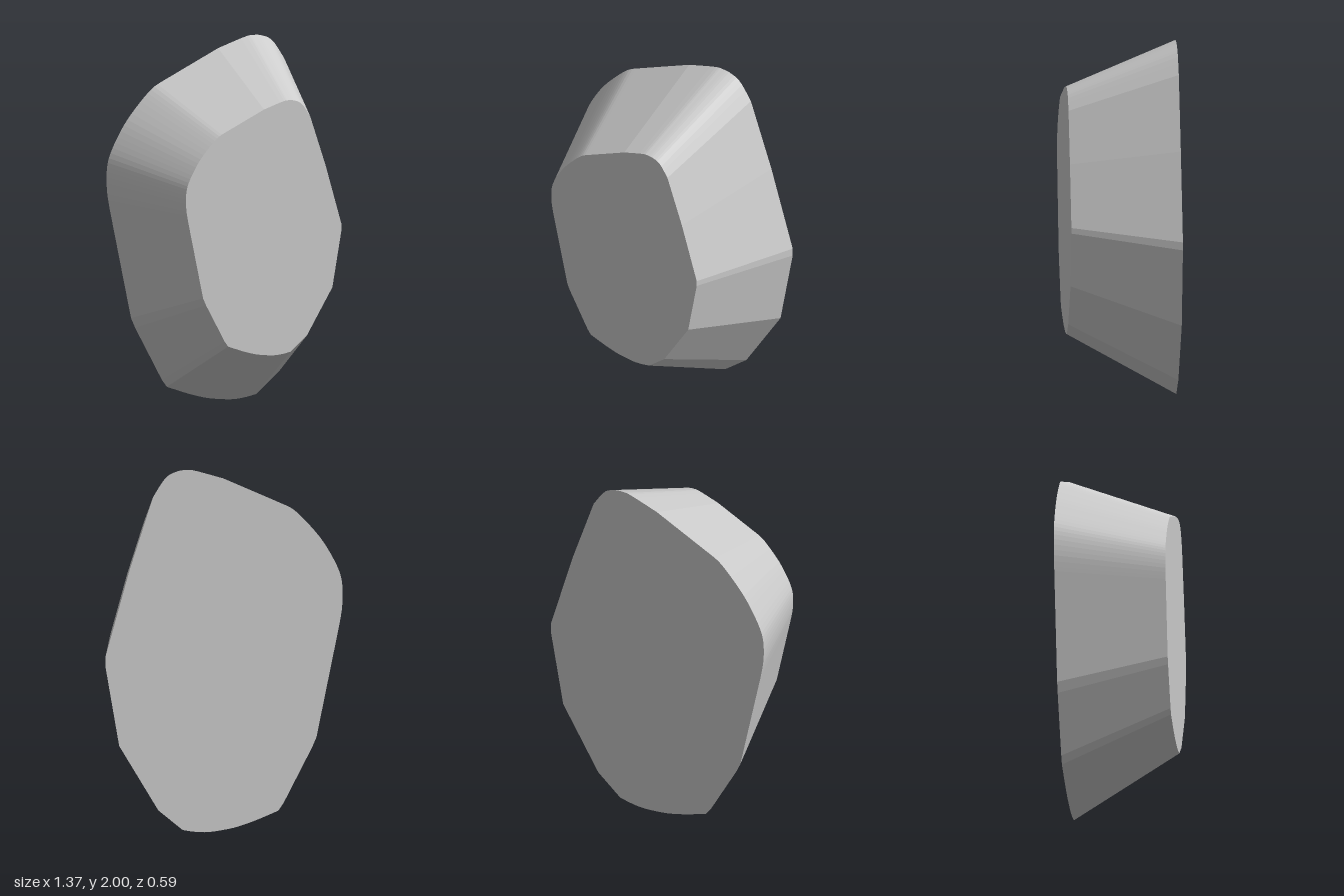
import * as THREE from 'three';

const DEPTH = 0.59;
const TAPER = 0.7; // front face size relative to the back

const pts = (list) => list.map(([x, y]) => new THREE.Vector2(x, y));

// Irregular stone outline of the large back face, counter-clockwise
function stoneOutline() {
  const s = new THREE.Shape();
  s.moveTo(0.235, 0.02);
  // right side
  for (const [x, y] of [[0.375, 0.135], [0.60, 0.50], [0.68, 0.945], [0.68, 0.99],
    [0.54, 1.465], [0.405, 1.86]]) s.lineTo(x, y);
  // rounded crown
  s.splineThru(pts([[0.335, 1.96], [0.275, 1.992], [0.22, 2.0], [0.165, 1.994], [0, 1.943]]));
  s.lineTo(-0.34, 1.787);
  // rounded left shoulder
  s.splineThru(pts([[-0.40, 1.755], [-0.47, 1.69], [-0.56, 1.587], [-0.625, 1.485],
    [-0.67, 1.39], [-0.685, 1.305], [-0.682, 1.2], [-0.665, 1.10]]));
  // lower left side
  for (const [x, y] of [[-0.535, 0.495], [-0.51, 0.44], [-0.345, 0.14], [-0.315, 0.10]]) s.lineTo(x, y);
  // gently curved bottom
  s.splineThru(pts([[-0.205, 0.06], [-0.125, 0.035], [-0.045, 0.016], [0.08, 0.002],
    [0.165, 0.007], [0.235, 0.02]]));
  return s;
}

export function createModel() {
  const group = new THREE.Group();
  group.name = 'taperedStone';
  const stoneGrey = new THREE.MeshStandardMaterial({ color: 0xcccccc });
  stoneGrey.name = 'stoneGrey';

  const geo = new THREE.ExtrudeGeometry(stoneOutline(), {
    depth: DEPTH, bevelEnabled: false, steps: 1, curveSegments: 3,
  });
  geo.translate(0, 0, -DEPTH / 2);

  // Shrink and shift the front face to slope the sides
  const p = geo.attributes.position;
  for (let i = 0; i < p.count; i++) {
    if (p.getZ(i) > 0) p.setXY(i, p.getX(i) * TAPER - 0.027, (p.getY(i) - 1) * TAPER + 1.03);
  }
  geo.computeVertexNormals();

  const stone = new THREE.Mesh(geo, stoneGrey);
  stone.name = 'stone';
  group.add(stone);
  return group;
}
